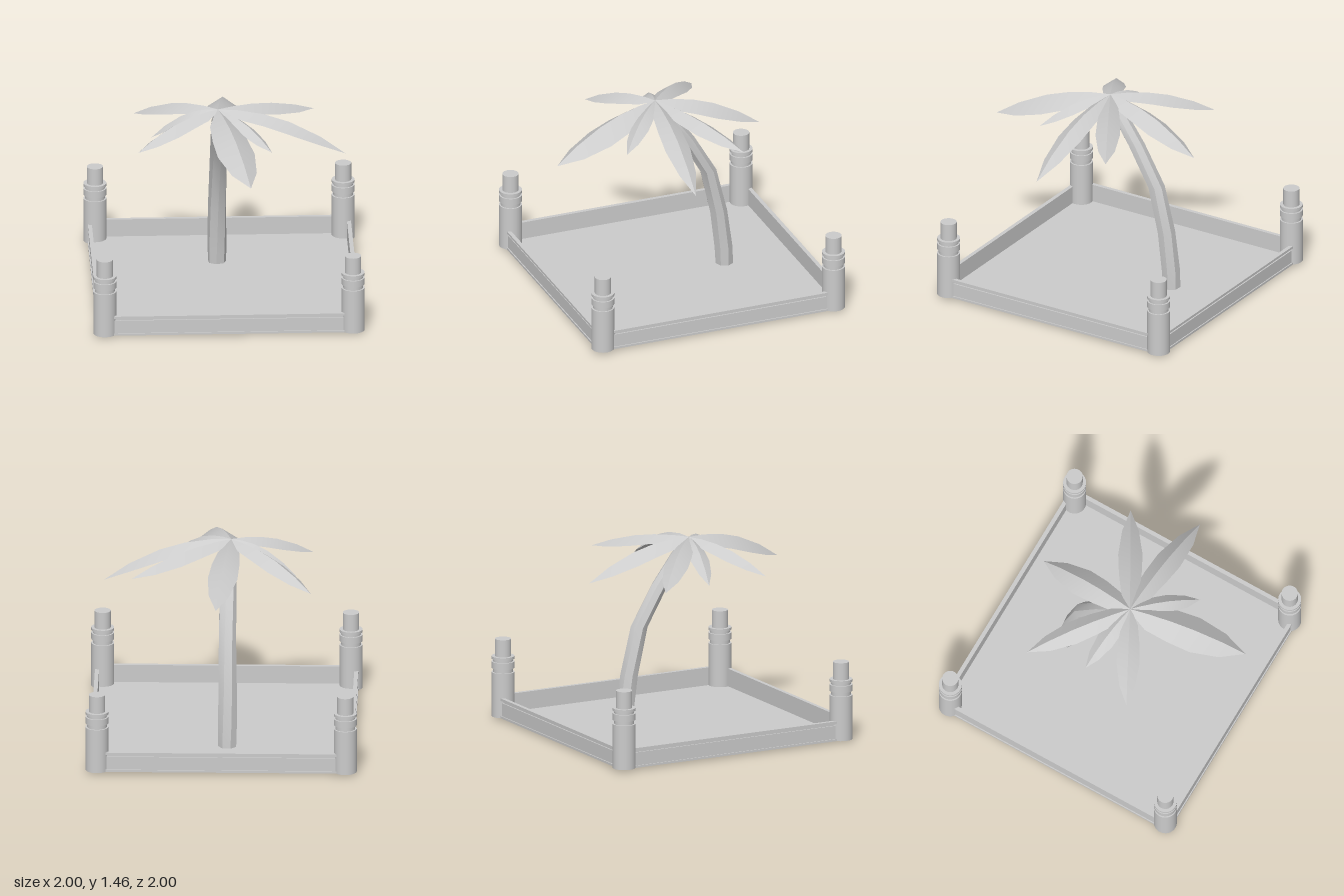
import * as THREE from 'three';
import { toCreasedNormals } from 'three/addons/utils/BufferGeometryUtils.js';

const grey = new THREE.MeshStandardMaterial({ color: 0xcccccc });
const greyThin = new THREE.MeshStandardMaterial({ color: 0xcccccc, side: THREE.DoubleSide });

function addMesh(parent, name, geometry, material = grey) {
  const mesh = new THREE.Mesh(geometry, material);
  mesh.name = name;
  parent.add(mesh);
  return mesh;
}

// Skin a surface over rows of points, each row a list of [x, y, z]
function skin(rows, crease) {
  const n = rows[0].length;
  const index = [];
  for (let i = 0; i < rows.length - 1; i++) {
    for (let j = 0; j < n - 1; j++) {
      const a = i * n + j, b = a + 1, c = a + n, d = c + 1;
      index.push(a, b, c, b, d, c);
    }
  }
  const g = new THREE.BufferGeometry();
  g.setAttribute('position', new THREE.Float32BufferAttribute(rows.flat(2), 3));
  g.setIndex(index);
  return toCreasedNormals(g, crease);
}

// Square ring lying flat between two heights
function frame(outer, inner, y0, y1) {
  const square = (P, h) => new P([[-h, -h], [h, -h], [h, h], [-h, h]].map(p => new THREE.Vector2(...p)));
  const shape = square(THREE.Shape, outer);
  shape.holes.push(square(THREE.Path, inner));
  const g = new THREE.ExtrudeGeometry(shape, { depth: y1 - y0, bevelEnabled: false });
  return g.rotateX(-Math.PI / 2).translate(0, y0, 0);
}

// Corner post of stacked drums: [radius, bottom, top]
function post(x, z) {
  const group = new THREE.Group();
  group.name = 'cornerPost';
  const drums = [
    [0.085, 0.015, 0.35], [0.073, 0.35, 0.38], [0.085, 0.38, 0.43],
    [0.073, 0.43, 0.45], [0.085, 0.45, 0.47], [0.06, 0.47, 0.6],
  ];
  for (const [r, y0, y1] of drums) {
    addMesh(group, 'postDrum', new THREE.CylinderGeometry(r, r, y1 - y0, 32)).position.y = (y0 + y1) / 2;
  }
  group.position.set(x, 0, z);
  return group;
}

// Faceted leaning trunk: [x, y, z, radius]
function trunk() {
  const sections = [
    [-0.035, 0, -0.43, 0], [-0.035, 0, -0.43, 0.065], [-0.035, 0.17, -0.42, 0.068],
    [-0.035, 0.47, -0.38, 0.066], [-0.03, 0.82, -0.295, 0.063], [-0.03, 1.12, -0.12, 0.062],
    [-0.035, 1.34, 0.04, 0.058], [-0.045, 1.43, 0.11, 0.03], [-0.045, 1.45, 0.115, 0],
  ];
  const rows = sections.map(([x, y, z, r], i) => Array.from({ length: 8 }, (_, j) => {
    const a = (j % 7) / 7 * Math.PI * 2 + i * 0.1;
    return [x + r * 1.05 * Math.cos(a), y, z - r * Math.sin(a)];
  }));
  return skin(rows, 0.4);
}

// Drooping leaf with a folded ridge, from the crown to its tip
const crown = [-0.05, 1.455, 0.115];
const outline = [[0, 0.12], [0.16, 0.72], [0.36, 0.93], [0.56, 1], [0.8, 0.68], [1, 0]];
function frond(tipX, tipY, tipZ, width) {
  const dx = tipX - crown[0], dz = tipZ - crown[2];
  const length = Math.hypot(dx, dz);
  const rows = outline.map(([t, w]) => {
    const half = w * width / 2;
    const y = crown[1] + (tipY - crown[1]) * t ** 2.2;
    return [-1, 0, 1].map(s => [
      crown[0] + dx * t - s * half * dz / length,
      y - Math.abs(s) * half * 0.7,
      crown[2] + dz * t + s * half * dx / length,
    ]);
  });
  return skin(rows, 0.6);
}

export function createModel() {
  const model = new THREE.Group();
  model.name = 'palmPlot';

  // Floor and low surrounding wall
  addMesh(model, 'floor', new THREE.BoxGeometry(1.94, 0.016, 1.94)).position.y = 0.023;
  addMesh(model, 'wall', frame(0.962, 0.94, 0.03, 0.13));
  addMesh(model, 'wallGroove', frame(0.952, 0.94, 0.13, 0.147));
  addMesh(model, 'wallCap', frame(0.97, 0.94, 0.147, 0.165));

  // Corner posts
  for (const x of [-0.915, 0.915]) for (const z of [-0.915, 0.915]) model.add(post(x, z));

  // Palm tree
  const palm = new THREE.Group();
  palm.name = 'palm';
  model.add(palm);
  addMesh(palm, 'trunk', trunk());
  const fronds = [
    [0.045, 1.175, -0.675, 0.22], [0.675, 1.285, -0.3, 0.18],
    [0.89, 1.11, 0.165, 0.19], [0.335, 1.255, 0.49, 0.14],
    [0.16, 1.17, 0.975, 0.28], [-0.65, 1.245, 0.43, 0.17],
    [-0.535, 1.2, 0.015, 0.14], [-0.65, 1.22, -0.415, 0.18],
  ];
  for (const f of fronds) addMesh(palm, 'frond', frond(...f), greyThin);

  return model;
}
